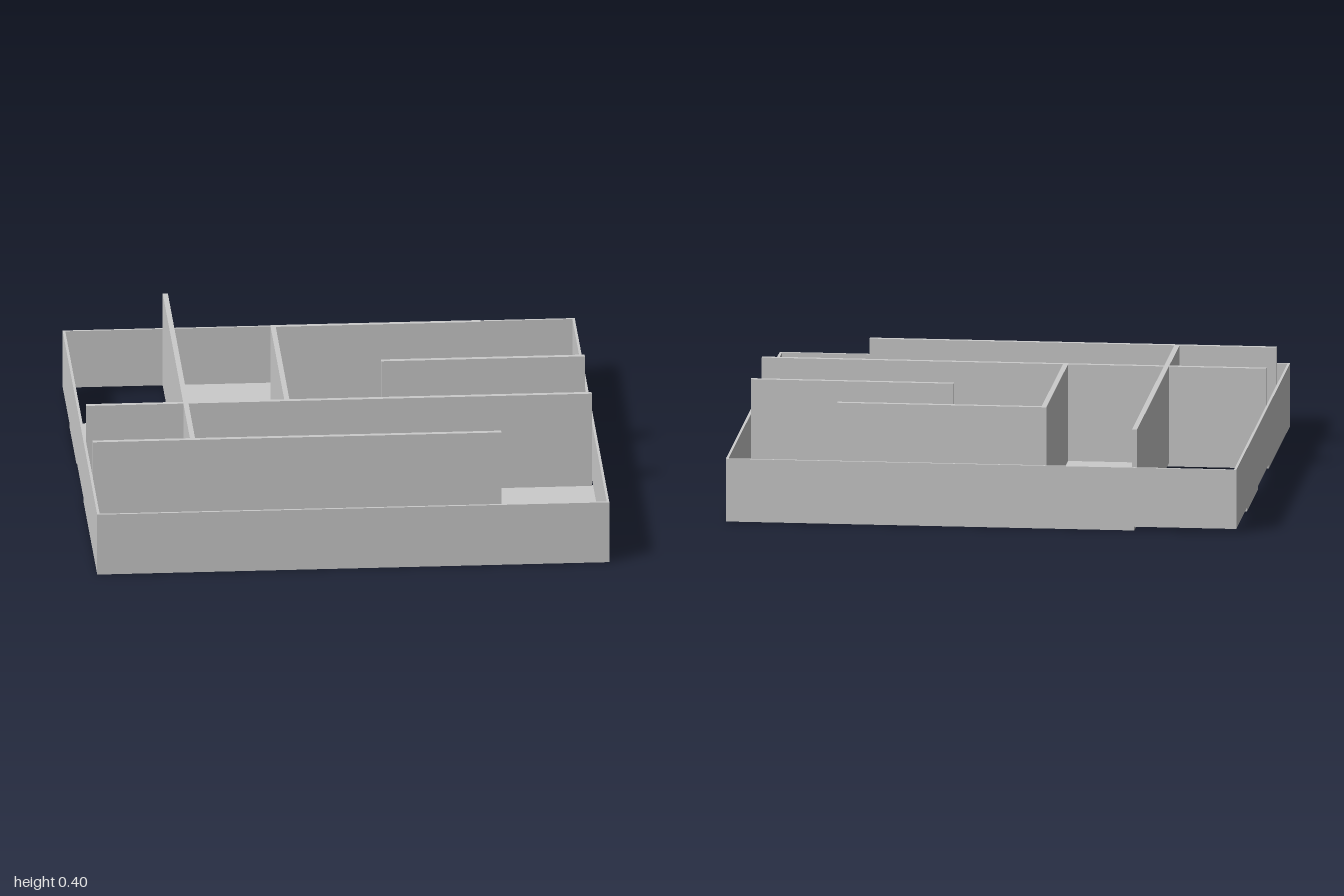
import * as THREE from 'three';

export function createModel() {
  const group = new THREE.Group();
  const material = new THREE.MeshStandardMaterial({ color: 0xcccccc, flatShading: true });
  const floorTop = 0.015;

  const add = (name, geometry) => {
    const mesh = new THREE.Mesh(geometry, material);
    mesh.name = name;
    group.add(mesh);
  };

  // Box standing on the floor, given by its plan extents
  const wall = (name, x0, x1, z0, z1, top) => {
    const geometry = new THREE.BoxGeometry(x1 - x0, top - floorTop, z1 - z0);
    geometry.translate((x0 + x1) / 2, (floorTop + top) / 2, (z0 + z1) / 2);
    add(name, geometry);
  };

  // Floor plate with three square pits cut in from its edges (x, z outline)
  const outline = [
    [-0.6, -1], [1, -1], [1, -0.2], [0.6, -0.2], [0.6, 0.2], [1, 0.2], [1, 1], [-1, 1],
    [-1, 0.2], [-0.6, 0.2], [-0.6, -0.2], [-1, -0.2], [-1, -0.6], [-0.6, -0.6],
  ].map(([x, z]) => new THREE.Vector2(x, z));
  const floor = new THREE.ExtrudeGeometry(new THREE.Shape(outline), { depth: floorTop, bevelEnabled: false });
  floor.rotateX(Math.PI / 2).translate(0, floorTop, 0);
  add('floor', floor);

  // Low rim around the edge
  const rimTop = 0.25, inner = 0.99;
  wall('frontRim', -1, 1, inner, 1, rimTop);
  wall('backRim', -1, 1, -1, -inner, rimTop);
  wall('leftRim', inner, 1, -inner, inner, rimTop);
  wall('rightRim', -1, -inner, -inner, inner, rimTop);

  // Tall maze partitions: [x start, x end, z start, z end] along their centre lines
  const half = 0.01;
  const partitions = [
    [-0.98, 0.595, 0.595, 0.595],
    [-0.98, 0.975, 0.2, 0.2],
    [-0.6, -0.6, -0.975, 0.595],
    [-0.205, -0.205, -0.605, 0.2],
    [-0.205, 0.595, -0.605, -0.605],
    [0.2, 0.975, -0.205, -0.205],
  ];
  partitions.forEach(([x0, x1, z0, z1], i) =>
    wall(`partition${i + 1}`, x0 - half, x1 + half, z0 - half, z1 + half, 0.4));

  return group;
}
